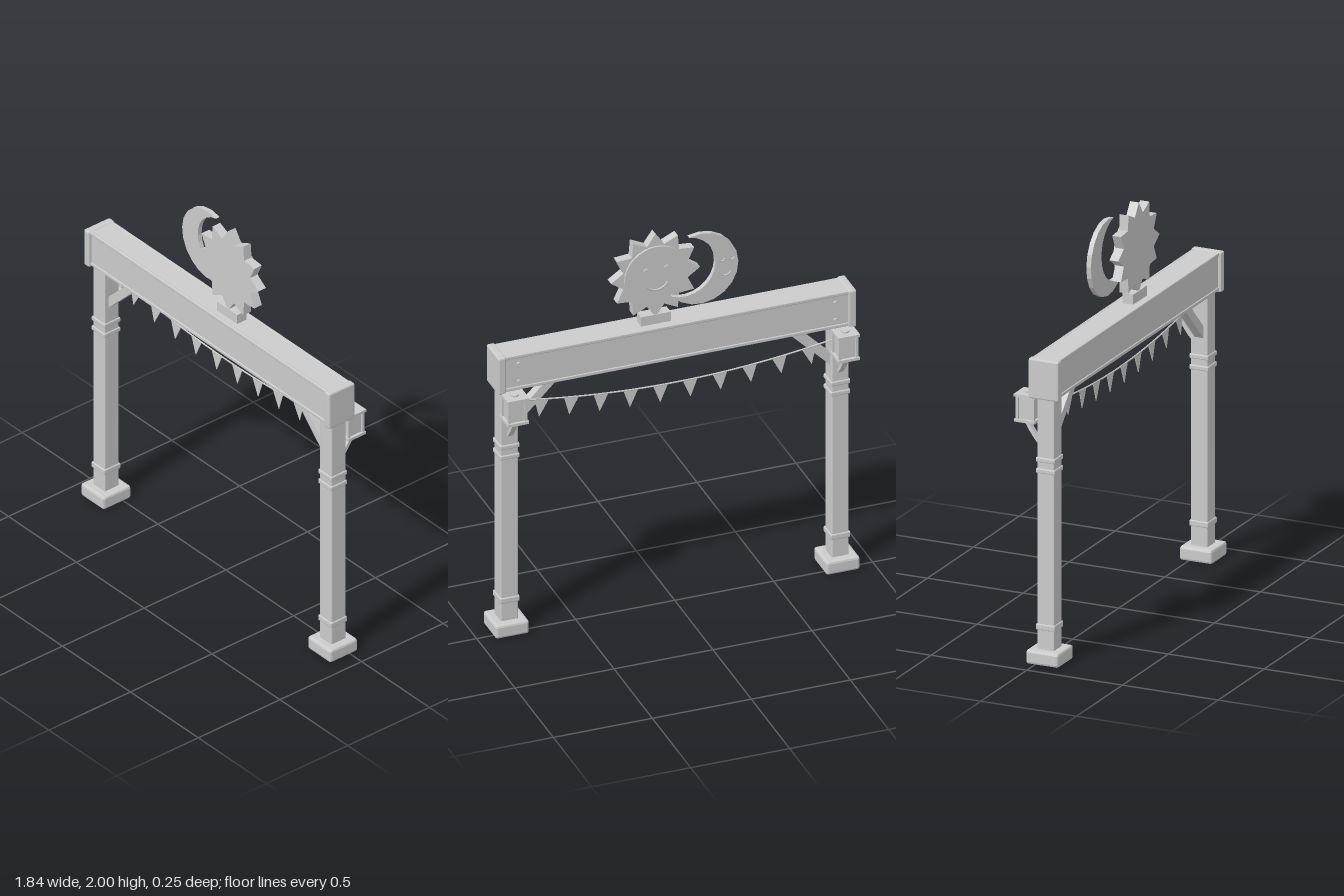
import * as THREE from 'three';
import { RoundedBoxGeometry } from 'three/addons/geometries/RoundedBoxGeometry.js';

const material = new THREE.MeshStandardMaterial({ color: 0xcccccc, flatShading: true });
const thin = new THREE.MeshStandardMaterial({ color: 0xcccccc, flatShading: true, side: THREE.DoubleSide });

function add(parent, name, geometry, x = 0, y = 0, z = 0, mat = material) {
  const mesh = new THREE.Mesh(geometry, mat);
  mesh.name = name;
  mesh.position.set(x, y, z);
  parent.add(mesh);
  return mesh;
}

// Box with a narrow chamfer on every edge
const chamfered = (w, h, d, r) => new RoundedBoxGeometry(w, h, d, 1, r);
const slab = (points, depth) =>
  new THREE.ExtrudeGeometry(new THREE.Shape(points), { depth, bevelEnabled: false });

function arcPoints(cx, cy, r, from, to, steps) {
  const points = [];
  for (let i = 0; i <= steps; i++) {
    const a = from + ((to - from) * i) / steps;
    points.push(new THREE.Vector2(cx + r * Math.cos(a), cy + r * Math.sin(a)));
  }
  return points;
}

// Curved raised line used for smiles and closed eyes
function arcLine(parent, name, x, y, z, r, from, to, thickness = 0.005) {
  const points = arcPoints(0, 0, r, from, to, 10).map(p => new THREE.Vector3(p.x, p.y, 0));
  return add(parent, name, new THREE.TubeGeometry(new THREE.CatmullRomCurve3(points), 12, thickness, 6), x, y, z);
}

function createLantern() {
  const lantern = new THREE.Group();
  lantern.name = 'lantern';
  add(lantern, 'lanternGlass', new THREE.BoxGeometry(0.078, 0.12, 0.078), 0, 1.255, 0);
  add(lantern, 'lanternFloor', new THREE.BoxGeometry(0.108, 0.014, 0.108), 0, 1.193, 0);
  add(lantern, 'lanternRoof', new THREE.BoxGeometry(0.11, 0.014, 0.11), 0, 1.318, 0);
  add(lantern, 'lanternKnob', new THREE.CylinderGeometry(0.022, 0.022, 0.008, 12), 0, 1.329, 0);
  for (const x of [-1, 1]) for (const z of [-1, 1])
    add(lantern, 'lanternCorner', new THREE.BoxGeometry(0.013, 0.118, 0.013), x * 0.042, 1.255, z * 0.042);
  return lantern;
}

function createSide(s) {
  const side = new THREE.Group();
  side.name = s > 0 ? 'leftPost' : 'rightPost';
  const x = s * 0.835, z = 0.04;
  add(side, 'foot', chamfered(0.17, 0.07, 0.17, 0.012), x, 0.035, z);
  add(side, 'post', chamfered(0.088, 1.29, 0.088, 0.006), x, 0.69, z);
  for (const [y, h] of [[0.18, 0.03], [0.957, 0.024], [1.012, 0.024]])
    add(side, 'postBand', chamfered(0.099, h, 0.099, 0.005), x, y, z);

  // Diagonal brace under the beam
  const brace = add(side, 'brace', new THREE.BoxGeometry(0.31, 0.043, 0.045), s * 0.695, 1.234, z);
  brace.rotation.z = -s * Math.PI / 4;

  // Lantern behind the post on a curved bracket
  const lantern = createLantern();
  lantern.position.set(x, 0, -0.066);
  side.add(lantern);
  const outer = new THREE.QuadraticBezierCurve(
    new THREE.Vector2(0, 1.065), new THREE.Vector2(0.045, 1.105), new THREE.Vector2(0.09, 1.19)).getPoints(6);
  const inner = new THREE.QuadraticBezierCurve(
    new THREE.Vector2(0.07, 1.19), new THREE.Vector2(0.035, 1.13), new THREE.Vector2(0, 1.09)).getPoints(6);
  const bracket = add(side, 'lanternBracket', slab([...outer, ...inner], 0.026), x - 0.013, 0, 0);
  bracket.rotation.y = Math.PI / 2;

  // Beam end cap and its bolts
  add(side, 'beamEndCap', chamfered(0.04, 0.2, 0.158, 0.008), s * 0.885, 1.419, 0.04);
  for (const y of [1.375, 1.47]) {
    const bolt = add(side, 'bolt', new THREE.CylinderGeometry(0.009, 0.009, 0.01, 8), s * 0.8, y, -0.034);
    bolt.rotation.x = Math.PI / 2;
  }
  return side;
}

function createBunting() {
  const bunting = new THREE.Group();
  bunting.name = 'bunting';
  const sag = x => 1.19 + 0.107 * x * x;
  const path = [];
  for (let i = -8; i <= 8; i++) path.push(new THREE.Vector3(i * 0.102, sag(i * 0.102), -0.008));
  add(bunting, 'string', new THREE.TubeGeometry(new THREE.CatmullRomCurve3(path), 32, 0.004, 6));
  const flag = slab([new THREE.Vector2(-0.037, 0), new THREE.Vector2(0, -0.093), new THREE.Vector2(0.037, 0)], 0.004);
  for (let i = 0; i < 10; i++) {
    const x = -0.675 + i * 0.15;
    add(bunting, 'flag', flag, x, sag(x), -0.01, thin).rotation.z = Math.atan(0.214 * x);
  }
  return bunting;
}

function createSun() {
  const sun = new THREE.Group();
  sun.name = 'sun';
  const cx = 0.09, cy = 1.776, points = [];
  for (let i = 0; i < 24; i++) {
    const r = i % 2 ? 0.168 : 0.225, a = (i * Math.PI) / 12;
    points.push(new THREE.Vector2(r * Math.cos(a), r * Math.sin(a)));
  }
  add(sun, 'sunRays', slab(points, 0.046), cx, cy, 0.016);
  add(sun, 'sunDisc', new THREE.CylinderGeometry(0.16, 0.16, 0.012, 32), cx, cy, 0.012).rotation.x = Math.PI / 2;
  // Face on the back
  for (const s of [-1, 1]) {
    add(sun, 'sunEye', new THREE.CylinderGeometry(0.013, 0.013, 0.008, 12), cx + s * 0.052, cy + 0.04, 0.004)
      .rotation.x = Math.PI / 2;
  }
  arcLine(sun, 'sunSmile', cx, cy - 0.01, 0.005, 0.062, Math.PI * 1.15, Math.PI * 1.85);
  return sun;
}

function createMoon() {
  const moon = new THREE.Group();
  moon.name = 'moon';
  // Crescent between a large circle and a smaller offset one
  const outer = arcPoints(-0.125, 1.786, 0.19, 1.255, 2 * Math.PI - 0.705, 14);
  const inner = arcPoints(-0.041, 1.81, 0.159, 2 * Math.PI - 1.177, 1.728, 14);
  add(moon, 'crescent', slab([...outer, ...inner.slice(1, -1)], 0.024), 0, 0, -0.018);
  // Face on the back
  for (const x of [-0.28, -0.232])
    arcLine(moon, 'moonEye', x, 1.822, -0.019, 0.015, Math.PI, Math.PI * 2, 0.004);
  arcLine(moon, 'moonSmile', -0.25, 1.755, -0.019, 0.028, Math.PI * 1.1, Math.PI * 1.9, 0.004);
  return moon;
}

export function createModel() {
  const model = new THREE.Group();
  model.name = 'festiveArchway';
  for (const s of [-1, 1]) model.add(createSide(s));

  // Crossbeam with slim edge trims
  add(model, 'beam', new THREE.BoxGeometry(1.75, 0.183, 0.132), 0, 1.424, 0.038);
  for (const z of [-0.026, 0.102]) for (const y of [1.508, 1.337])
    add(model, 'beamTrim', chamfered(1.75, 0.018, 0.014, 0.004), 0, y, z);

  add(model, 'signFoot', new THREE.BoxGeometry(0.15, 0.055, 0.056), 0.09, 1.538, 0.04);
  model.add(createSun(), createMoon(), createBunting());
  return model;
}
